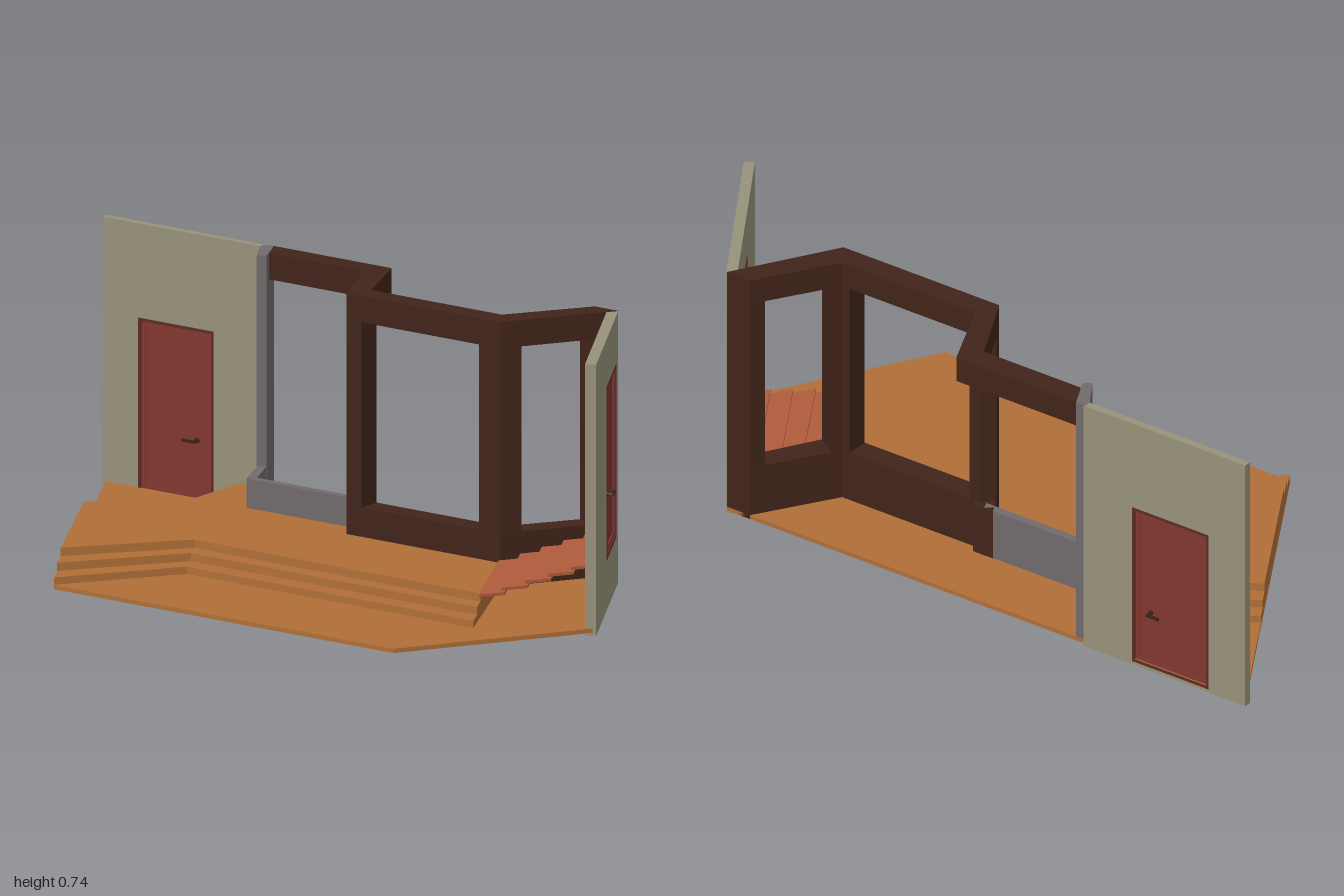
import * as THREE from 'three';

const mat = (color) => new THREE.MeshStandardMaterial({ color, flatShading: true });
const wallMat = mat(0x96927a), woodMat = mat(0xb06f38), frameMat = mat(0x40241a);
const greyMat = mat(0x716a6d), stairMat = mat(0xb05c3c), doorMat = mat(0x80372f);
const trimMat = mat(0x602a25), metalMat = mat(0x3a221c);

// Upright slab from a plan outline of [x, z] points
function slab(name, plan, y0, y1, material) {
  const shape = new THREE.Shape(plan.map(([x, z]) => new THREE.Vector2(x, -z)));
  const geo = new THREE.ExtrudeGeometry(shape, { depth: y1 - y0, bevelEnabled: false });
  geo.rotateX(-Math.PI / 2).translate(0, y0, 0);
  const mesh = new THREE.Mesh(geo, material);
  mesh.name = name;
  return mesh;
}

function box(name, w, h, d, x, y, z, material) {
  const mesh = new THREE.Mesh(new THREE.BoxGeometry(w, h, d), material);
  mesh.position.set(x, y, z);
  mesh.name = name;
  return mesh;
}

// Door with frame, raised border and lever handles on both faces; base at y = 0
function makeDoor(t) {
  const door = new THREE.Group();
  const w = 0.25, h = 0.475, f = 0.008;
  door.add(box('doorLeaf', w - 2 * f, h - 2 * f, t * 0.5, 0, h / 2, 0, doorMat));
  for (const s of [-1, 1]) {
    door.add(box('doorJamb', f, h, t + 0.003, s * (w - f) / 2, h / 2, 0, trimMat));
    door.add(box('doorRail', w, f, t + 0.002, 0, h / 2 + s * (h - f) / 2, 0, trimMat));
    door.add(box('doorStile', 0.012, h - 2 * f, t * 0.75, s * (w / 2 - f - 0.006), h / 2, 0, doorMat));
    door.add(box('doorBorder', w - 2 * f, 0.012, t * 0.74, 0, h / 2 + s * (h / 2 - f - 0.006), 0, doorMat));
    // handle
    const rose = new THREE.Mesh(new THREE.CylinderGeometry(0.007, 0.007, 0.006, 10), metalMat);
    rose.rotation.x = Math.PI / 2;
    rose.position.set(0.067, 0.167, s * (t * 0.25 + 0.003));
    rose.name = 'handleRose';
    const neck = new THREE.Mesh(new THREE.CylinderGeometry(0.003, 0.003, 0.02, 8), metalMat);
    neck.rotation.x = Math.PI / 2;
    neck.position.set(0.067, 0.167, s * (t * 0.25 + 0.01));
    neck.name = 'handleNeck';
    door.add(rose, neck);
    door.add(box('handleLever', 0.04, 0.007, 0.006, 0.05, 0.167, s * (t * 0.25 + 0.019), metalMat));
  }
  return door;
}

// Wall along local x with a doorway, thickness toward local +z
function makeWall(name, len, t, doorX, doorY) {
  const g = new THREE.Group();
  g.name = name;
  const rect = (P, x0, y0, x1, y1) => {
    const p = new P();
    p.moveTo(x0, y0);
    p.lineTo(x1, y0);
    p.lineTo(x1, y1);
    p.lineTo(x0, y1);
    p.closePath();
    return p;
  };
  const shape = rect(THREE.Shape, 0, 0, len, 0.743);
  shape.holes.push(rect(THREE.Path, doorX - 0.125, doorY, doorX + 0.125, doorY + 0.475));
  const panel = new THREE.Mesh(new THREE.ExtrudeGeometry(shape, { depth: t, bevelEnabled: false }), wallMat);
  panel.name = name + 'Panel';
  const door = makeDoor(t);
  door.name = name + 'Door';
  door.position.set(doorX, doorY, t / 2);
  g.add(panel, door);
  return g;
}

export function createModel() {
  const model = new THREE.Group();
  model.name = 'room';

  // Base floor
  model.add(slab('floor', [[-1, -0.486], [0.7, -0.486], [0.995, 0], [0.7, 0.5], [-0.43, 0.5]], 0.008, 0.02, woodMat));

  // Raised platform in three tiers, stepping down at the front and at the left corner
  const edgeX = (z) => -1 + (z + 0.487) * 0.5775;
  const tiers = [
    { y: [0.02, 0.04], back: -0.26, side: -0.14, front: 0.195, bend: -0.22, right: 0.735, left: 0.499 },
    { y: [0.04, 0.062], back: -0.205, side: -0.1, front: 0.14, bend: -0.247, right: 0.706, left: 0.437 },
    { y: [0.062, 0.085], back: -0.15, side: -0.06, front: 0.092, bend: -0.273, right: 0.68, left: 0.375 },
  ];
  tiers.forEach((s, i) => model.add(slab('platformStep', [
    [edgeX(s.side), s.side], [-0.61 + 0.008 * i, s.back], [-0.54, s.back], [-0.54, -0.47], [-0.46, -0.47],
    [-0.365, -0.27], [0, -0.27], [0.03, -0.21], [0.52, -0.21], [s.right, s.front], [s.bend, s.front],
    [edgeX(s.left), s.left],
  ], s.y[0], s.y[1], woodMat)));

  // Walls with doors
  const leftWall = makeWall('backWall', 0.53, 0.022, 0.245, 0.01);
  leftWall.position.set(-1, 0, -0.487);
  const rightWall = makeWall('sideWall', 0.574, 0.03, 0.18, 0.138);
  rightWall.position.set(0.7, 0, -0.487);
  rightWall.rotation.y = -Math.atan2(0.854, 0.52);
  model.add(leftWall, rightWall);

  // Open treads up to the side door
  const a0 = [0.52, -0.2], a1 = [0.7, 0.125], b0 = [0.686, -0.455], b1 = [0.875, -0.15];
  const mix = (p, q, t) => [p[0] + (q[0] - p[0]) * t, p[1] + (q[1] - p[1]) * t];
  for (let i = 0; i < 5; i++) {
    const t0 = i / 5, t1 = Math.min(1, (i + 1.12) / 5), y = 0.092 + 0.013 * i;
    model.add(slab('stairTread', [mix(a0, b0, t0), mix(a1, b1, t0), mix(a1, b1, t1), mix(a0, b0, t1)], y - 0.008, y, stairMat));
  }

  // Grey pier and low wall of the window bay
  model.add(slab('greyPier', [[-0.475, -0.486], [-0.445, -0.486], [-0.4, -0.395], [-0.422, -0.38], [-0.475, -0.465]], 0.008, 0.743, greyMat));
  model.add(slab('greyLowWall', [
    [-0.47, -0.486], [-0.445, -0.486], [-0.35, -0.287], [0, -0.287], [0.01, -0.263], [-0.367, -0.263],
  ], 0.008, 0.165, greyMat));

  // Dark timber frame: header beam, low wall and posts
  model.add(slab('headerBeam', [
    [-0.445, -0.486], [-0.053, -0.486], [0.045, -0.267], [0.48, -0.267], [0.623, -0.486],
    [0.7, -0.486], [0.524, -0.2], [0.014, -0.2], [-0.094, -0.418], [-0.41, -0.418],
  ], 0.672, 0.744, frameMat));
  model.add(slab('darkLowWall', [
    [-0.03, -0.289], [0.035, -0.289], [0.045, -0.267], [0.48, -0.267], [0.623, -0.486],
    [0.698, -0.486], [0.524, -0.2], [0.014, -0.2],
  ], 0.008, 0.165, frameMat));
  const posts = [
    [[-0.004, -0.236], [0.029, -0.267], [0.063, -0.267], [0.063, -0.2], [0.014, -0.2]],
    [[0.455, -0.267], [0.48, -0.267], [0.497, -0.293], [0.556, -0.252], [0.524, -0.2], [0.455, -0.2]],
    [[0.623, -0.486], [0.698, -0.486], [0.662, -0.425], [0.6, -0.45]],
  ];
  for (const plan of posts) model.add(slab('windowPost', plan, 0.16, 0.68, frameMat));

  return model;
}
